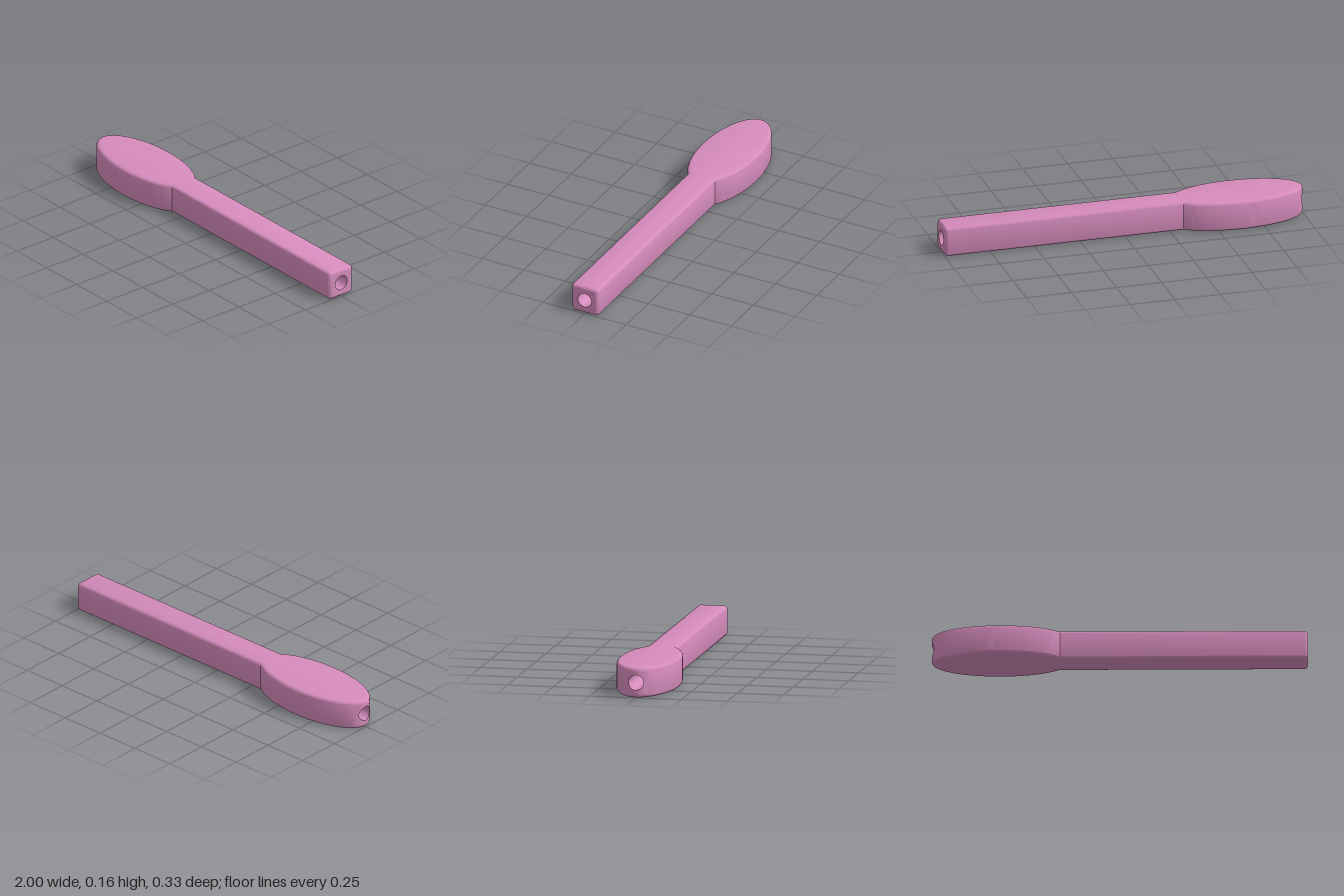
import * as THREE from 'three';
import { toCreasedNormals } from 'three/addons/utils/BufferGeometryUtils.js';

const H = 0.163, HW = H / 2;              // thickness, half width of the handle
const A = 0.365, B = 0.163, CX = -0.635;  // half axes and centre of the oval head
const R = 0.02;                           // rounding of all edges
const BORE = 0.041;                       // radius of the lengthwise hole
const PATCH = HW - R;                     // half size of the square area around a hole mouth
const STEPS = 8, ARC = 40;

// Adds both mirrored halves of a surface given as point(i, j) = [x, y, z]
function addGrid(out, nu, nv, point, flip = false, skip = () => false) {
  const tri = new THREE.Triangle();
  for (const side of [1, -1]) {
    const at = (i, j) => {
      const [x, y, z] = point(i, j);
      return new THREE.Vector3(x, y, z * side);
    };
    for (let i = 0; i < nu; i++) for (let j = 0; j < nv; j++) {
      if (skip(i, j)) continue;
      const a = at(i, j), b = at(i + 1, j), c = at(i + 1, j + 1), d = at(i, j + 1);
      for (const [p, q, r] of [[a, b, c], [a, c, d]]) {
        if (tri.set(p, q, r).getArea() < 1e-10) continue;
        const order = flip === (side === 1) ? [p, r, q] : [p, q, r];
        order.forEach(v => out.push(v.x, v.y, v.z));
      }
    }
  }
}

function finish(name, positions, material) {
  const g = new THREE.BufferGeometry();
  g.setAttribute('position', new THREE.Float32BufferAttribute(positions, 3));
  const mesh = new THREE.Mesh(toCreasedNormals(g, 0.5), material);
  mesh.name = name;
  return mesh;
}

// Point on the oval, moved inwards by d
function oval(t, d) {
  const nx = B * Math.cos(t), nz = A * Math.sin(t), l = Math.hypot(nx, nz);
  return [CX + A * Math.cos(t) - d * nx / l, B * Math.sin(t) - d * nz / l];
}

// Half of the plan outline from the head's tip to the handle's end, inset by d
function outline(d) {
  const pts = [];
  let lo = 0, hi = Math.PI / 2;           // where the oval meets the handle
  for (let k = 0; k < 40; k++) {
    const m = (lo + hi) / 2;
    if (oval(m, d)[1] < HW - d) lo = m; else hi = m;
  }
  let t = Math.PI;
  for (let k = 0; k <= STEPS; k++) {
    t = Math.PI - Math.asin(PATCH * Math.tan(k / STEPS * Math.PI / 4) / B);
    pts.push(oval(t, d));
  }
  for (let k = 1; k <= ARC; k++) pts.push(oval(t + (lo - t) * k / ARC, d));
  for (let k = 0; k <= 6; k++) {          // rounded corner of the handle
    const q = k / 6 * Math.PI / 2;
    pts.push([1 - R + (R - d) * Math.sin(q), HW - R + (R - d) * Math.cos(q)]);
  }
  pts.push([1 - d, 0]);
  return pts;
}

const tipX = z => CX - A * Math.sqrt(1 - (z / B) ** 2);
const endX = () => 1;

export function createModel() {
  const group = new THREE.Group();
  group.name = 'paddle';
  const material = new THREE.MeshStandardMaterial({ color: 0xd68cbd });

  // Body: rounded section rows, closed at the middle line above and below
  const rows = [];
  for (const half of [0, 1]) for (let k = 0; k <= 6; k++) {
    const f = (k / 6 - 1 + half) * Math.PI / 2;
    const y = (half ? H - R : R) + R * Math.sin(f);
    rows.push(outline(R * (1 - Math.cos(f))).map(([x, z]) => [x, y, z]));
  }
  const centre = row => row.map(([x, y]) => [x, y, 0]);
  rows.unshift(centre(rows[0]));
  rows.push(centre(rows[rows.length - 1]));
  const n = rows[0].length - 1;
  const body = [];
  addGrid(body, n, rows.length - 1, (i, j) => rows[j][i], false,
    (i, j) => j === 7 && (i < STEPS || i === n - 1));

  // Square areas around the two hole mouths
  const angle = j => (j / (4 * STEPS) - 0.5) * Math.PI;
  for (const [surface, flip] of [[tipX, false], [endX, true]]) {
    addGrid(body, 6, 4 * STEPS, (i, j) => {
      const c = Math.cos(angle(j)), s = Math.sin(angle(j));
      const edge = PATCH / Math.max(Math.abs(c), Math.abs(s));
      const r = BORE + (edge - BORE) * i / 6;
      return [surface(r * c), H / 2 + r * s, r * c];
    }, flip);
  }
  group.add(finish('headAndHandle', body, material));

  // Hole running the full length
  const bore = [];
  addGrid(bore, 1, 4 * STEPS, (i, j) => {
    const z = BORE * Math.cos(angle(j));
    return [i ? 1 : tipX(z), H / 2 + BORE * Math.sin(angle(j)), z];
  }, true);
  group.add(finish('lengthwiseHole', bore, material));
  return group;
}
